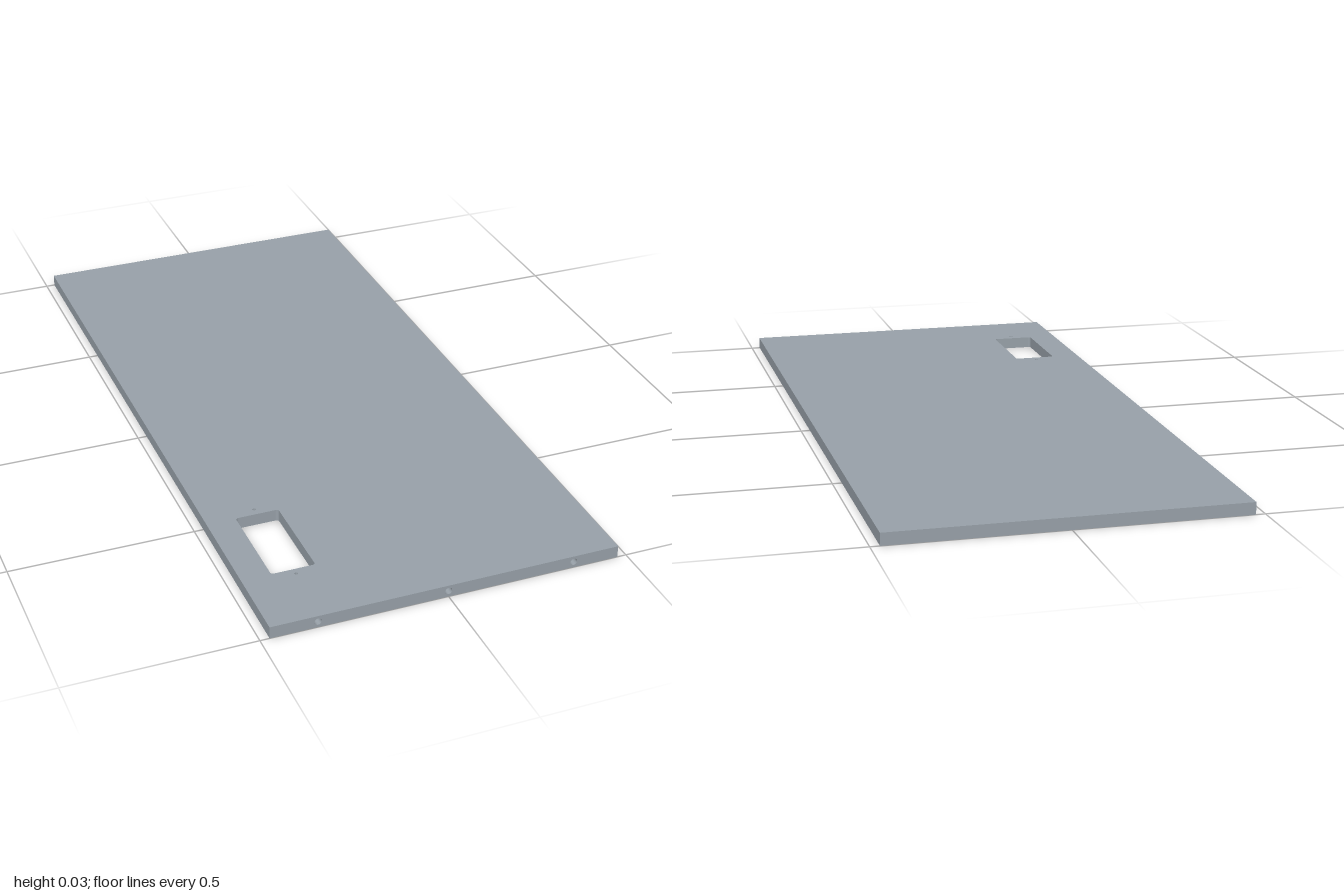
import * as THREE from 'three';

const W = 0.95, H = 0.033, L = 2; // panel width, thickness, length
const SEG = 12;                   // curve divisions (a full circle gets twice as many)
const cutout = { x0: -0.395, x1: -0.276, z0: 0.528, z1: 0.795, r: 0.008 };

// Blind holes on each face
const frontHoles = [-0.349, 0, 0.349].map((x) => ({ x, v: H / 2, r: 0.0095, depth: 0.1 }));
const topHoles = [0.505, 0.815].map((v) => ({ x: -0.335, v, r: 0.0045, depth: 0.02 }));
const bottomHoles = [[-0.434, 0.66], [0.434, 0.66], [0, 0.01], [-0.314, -0.966], [0.314, -0.966]]
  .map(([x, v]) => ({ x, v, r: 0.0065, depth: 0.02 }));

function rectangle(x0, x1, y0, y1) {
  return new THREE.Shape([[x0, y0], [x1, y0], [x1, y1], [x0, y1]].map((p) => new THREE.Vector2(...p)));
}

// Cutout outline with slightly rounded corners; s = -1 flips it for the top face
function cutoutPath(s) {
  const { x0, x1, r } = cutout;
  const [a, b] = [s * cutout.z0, s * cutout.z1].sort((p, q) => p - q);
  const path = new THREE.Path();
  path.absarc(x1 - r, b - r, r, 0, Math.PI / 2);
  path.absarc(x0 + r, b - r, r, Math.PI / 2, Math.PI);
  path.absarc(x0 + r, a + r, r, Math.PI, Math.PI * 1.5);
  path.absarc(x1 - r, a + r, r, Math.PI * 1.5, Math.PI * 2);
  path.closePath();
  return path;
}

// Flat face pierced by round holes
function piercedFace(shape, holes, s) {
  for (const h of holes) {
    const path = new THREE.Path();
    path.absarc(h.x, s * h.v, h.r, 0, Math.PI * 2);
    shape.holes.push(path);
  }
  return new THREE.ShapeGeometry(shape, SEG);
}

// Vertical wall facing the inside of a closed outline in x and z
function wall(points) {
  const pos = [];
  points.forEach((p, i) => {
    const q = points[(i + 1) % points.length];
    pos.push(p.x, 0, p.y, q.x, 0, q.y, q.x, H, q.y);
    pos.push(p.x, 0, p.y, q.x, H, q.y, p.x, H, p.y);
  });
  const geo = new THREE.BufferGeometry();
  geo.setAttribute('position', new THREE.Float32BufferAttribute(pos, 3));
  geo.computeVertexNormals();
  return geo;
}

export function createModel() {
  const model = new THREE.Group();
  model.name = 'panel';
  const material = new THREE.MeshStandardMaterial({ color: 0x98a1a9, flatShading: true });

  const add = (name, geo) => {
    const mesh = new THREE.Mesh(geo, material);
    mesh.name = name;
    model.add(mesh);
    return mesh;
  };

  // Large faces
  const top = rectangle(-W / 2, W / 2, -L / 2, L / 2);
  top.holes.push(cutoutPath(-1));
  add('topFace', piercedFace(top, topHoles, -1).rotateX(-Math.PI / 2).translate(0, H, 0));

  const bottom = rectangle(-W / 2, W / 2, -L / 2, L / 2);
  bottom.holes.push(cutoutPath(1));
  add('bottomFace', piercedFace(bottom, bottomHoles, 1).rotateX(Math.PI / 2));

  // Edges
  const front = rectangle(-W / 2, W / 2, 0, H);
  add('frontEdge', piercedFace(front, frontHoles, 1).translate(0, 0, L / 2));
  add('backEdge', new THREE.PlaneGeometry(W, H).rotateY(Math.PI).translate(0, H / 2, -L / 2));
  for (const [name, s] of [['leftEdge', 1], ['rightEdge', -1]]) {
    add(name, new THREE.PlaneGeometry(L, H).rotateY(s * Math.PI / 2).translate(s * W / 2, H / 2, 0));
  }

  // Walls of the rectangular cutout
  add('cutoutWall', wall(cutoutPath(1).getPoints(SEG)));

  // Round blind holes, each a lathed cup that opens outward and faces its axis
  const drill = (name, h, tilt, x, y, z) => {
    const profile = [[h.r, 0], [h.r, -h.depth], [0, -h.depth]].map((p) => new THREE.Vector2(...p));
    const mesh = add(name, new THREE.LatheGeometry(profile, SEG * 2));
    mesh.rotation.x = tilt;
    mesh.position.set(x, y, z);
  };
  for (const h of frontHoles) drill('edgeHole', h, Math.PI / 2, h.x, h.v, L / 2);
  for (const h of topHoles) drill('pilotHole', h, 0, h.x, H, h.v);
  for (const h of bottomHoles) drill('undersideHole', h, Math.PI, h.x, 0, h.v);

  return model;
}
